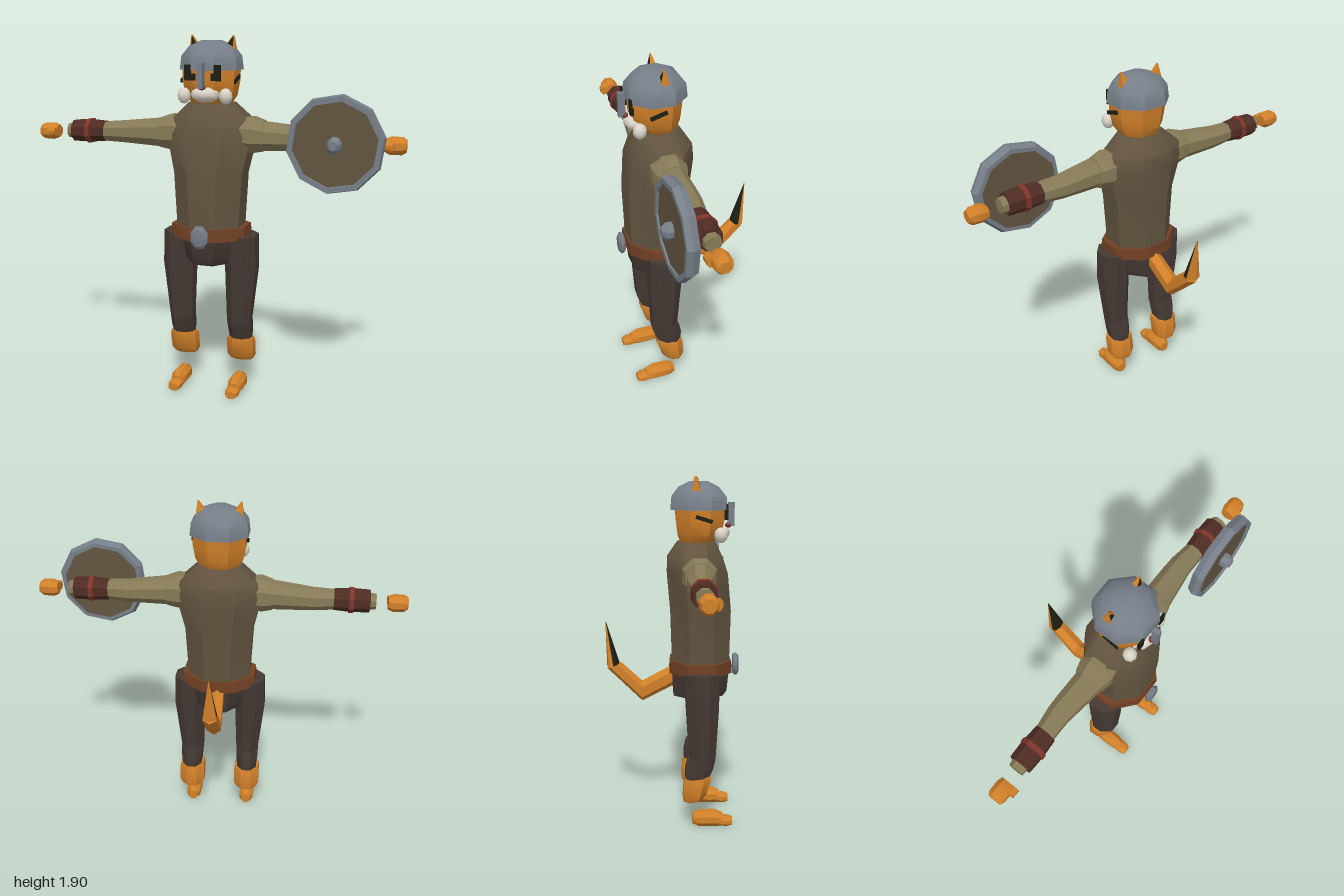
import * as THREE from 'three';
import { toCreasedNormals } from 'three/addons/utils/BufferGeometryUtils.js';

const mat = (name, color) => {
  const m = new THREE.MeshStandardMaterial({ color });
  m.name = name;
  return m;
};

// Lofts closed sections [cx,cy,cz, ux,uy,uz, vx,vy,vz] (centre and two half axes) and caps both ends.
function loft(sections, n = 8) {
  const k = 1 / Math.cos(Math.PI / n);
  const pos = [];
  const index = [];
  for (const [cx, cy, cz, ux, uy, uz, vx, vy, vz] of sections) {
    for (let i = 0; i < n; i++) {
      const a = ((i + 0.5) / n) * Math.PI * 2;
      const c = Math.cos(a) * k;
      const s = Math.sin(a) * k;
      pos.push(cx + ux * c + vx * s, cy + uy * c + vy * s, cz + uz * c + vz * s);
    }
  }
  const last = sections.length - 1;
  for (let j = 0; j < last; j++) {
    for (let i = 0; i < n; i++) {
      const a = j * n + i;
      const b = j * n + ((i + 1) % n);
      index.push(a, b, b + n, a, b + n, a + n);
    }
  }
  for (let i = 1; i < n - 1; i++) {
    index.push(0, i + 1, i);
    index.push(last * n, last * n + i, last * n + i + 1);
  }
  // Keep the faces outward whichever way the sections run
  const p = (i) => new THREE.Vector3().fromArray(pos, i * 3);
  const origin = p(0);
  let volume = 0;
  for (let i = 0; i < index.length; i += 3) {
    const [a, b, c] = [0, 1, 2].map((o) => p(index[i + o]).sub(origin));
    volume += a.dot(b.cross(c));
  }
  if (volume < 0) index.reverse();
  const g = new THREE.BufferGeometry();
  g.setAttribute('position', new THREE.Float32BufferAttribute(pos, 3));
  g.setIndex(index);
  return toCreasedNormals(g, 0.7);
}

// Upright loft from [y, centreX, halfWidth, zBack, zFront]
const loftY = (rows, n) => loft(rows.map(([y, x, r, z0, z1]) =>
  [x, y, (z0 + z1) / 2, r, 0, 0, 0, 0, (z1 - z0) / 2]), n);
// Sideways loft from [x, centreY, halfHeight, centreZ, halfDepth]
const loftX = (rows, s, n) => loft(rows.map(([x, y, h, z, d]) =>
  [x * s, y, z, 0, h, 0, 0, 0, d]), n);
// Forward loft from [z, centreX, halfWidth, centreY, halfHeight]
const loftZ = (rows, n) => loft(rows.map(([z, x, w, y, h]) =>
  [x, y, z, w, 0, 0, 0, h, 0]), n);

export function createModel() {
  const model = new THREE.Group();
  model.name = 'catWarrior';
  const tunic = mat('tunicBrown', 0x62543f);
  const sleeve = mat('sleeveKhaki', 0x867a57);
  const trouser = mat('trouserBrown', 0x453933);
  const fur = mat('orangeFur', 0xd18029);
  const steel = mat('steel', 0x767e88);
  const leather = mat('beltLeather', 0x703f24);
  const bracer = mat('bracerBrown', 0x4f2c24);
  const red = mat('bandRed', 0x80352a);
  const white = mat('whiteFur', 0xdad5c8);
  const black = mat('stripeBlack', 0x1c1f15);

  const add = (name, geometry, material) => {
    const mesh = new THREE.Mesh(geometry, material);
    mesh.name = name;
    model.add(mesh);
    return mesh;
  };
  const box = (name, size, at, material, rx = 0, rz = 0) => {
    const m = add(name, new THREE.BoxGeometry(...size), material);
    m.position.set(...at);
    m.rotation.set(rx, 0, rz);
    return m;
  };
  const ball = (name, size, at, material) => {
    const m = add(name, new THREE.SphereGeometry(1, 8, 6), material);
    m.scale.set(...size);
    m.position.set(...at);
  };

  // Body
  add('torso', loftY([
    [0.91, 0, 0.17, 0.0, 0.31], [1.2, 0, 0.185, -0.01, 0.315], [1.4, 0, 0.23, -0.028, 0.295],
    [1.48, 0, 0.205, -0.025, 0.27], [1.565, 0, 0.115, 0.03, 0.23],
  ]), tunic);
  add('belt', loftY([[0.86, 0, 0.205, -0.015, 0.325], [0.925, 0, 0.2, -0.01, 0.32]]), leather);
  add('buckle', loftZ([
    [0.335, 0, 0.038, 0.89, 0.05], [0.345, 0, 0.046, 0.89, 0.058],
    [0.356, 0, 0.046, 0.89, 0.058], [0.367, 0, 0.03, 0.89, 0.045],
  ]), steel);
  add('hips', loftY([[0.72, 0, 0.115, 0.01, 0.28], [0.75, 0, 0.13, 0.005, 0.3],
    [0.87, 0, 0.16, 0, 0.31]]), trouser);

  // Head and helmet
  add('head', loftY([
    [1.55, 0, 0.09, 0.05, 0.21], [1.6, 0, 0.125, 0.03, 0.26],
    [1.68, 0, 0.14, 0.02, 0.275], [1.75, 0, 0.14, 0.015, 0.275],
  ]), fur);
  add('helmet', loftY([
    [1.732, 0, 0.153, -0.008, 0.292], [1.8, 0, 0.145, -0.002, 0.285],
    [1.85, 0, 0.11, 0.035, 0.245], [1.878, 0, 0.05, 0.09, 0.19],
  ]), steel);
  box('noseGuard', [0.028, 0.125, 0.034], [0, 1.708, 0.315], steel);
  ball('muzzle', [0.078, 0.042, 0.06], [0, 1.612, 0.25], white);
  ball('nose', [0.022, 0.014, 0.018], [0, 1.65, 0.3], red);

  // Tail
  add('tail', loft([
    [0, 0.835, 0.02, 0.036, 0, 0, 0, 0.052, 0], [0, 0.737, -0.165, 0.04, 0, 0, 0, 0.05, 0],
    [0, 0.885, -0.32, 0.036, 0, 0, 0, 0.014, 0.034],
  ], 6), fur);
  const tip = (name, z0, z1, material) => add(name, loft([
    [0, 0.885, (z0 + z1) / 2, 0.036, 0, 0, 0, 0.004, (z1 - z0) / 2],
    [0, 1.125, -0.362, 0.002, 0, 0, 0, 0, 0.002],
  ], 6), material);
  tip('tailTipStripe', -0.33, -0.29, black);
  tip('tailTip', -0.355, -0.315, fur);

  for (const s of [1, -1]) {
    const side = s > 0 ? 'left' : 'right';

    // Face details
    ball(side + 'Cheek', [0.036, 0.041, 0.036], [0.111 * s, 1.605, 0.255], white);
    box(side + 'EyePatch', [0.034, 0.08, 0.009], [0.078 * s, 1.722, 0.288], black);
    box(side + 'Eye', [0.05, 0.035, 0.009], [0.066 * s, 1.7, 0.28], black);
    box(side + 'CheekStripe', [0.008, 0.02, 0.09], [0.144 * s, 1.688, 0.165], black, 0.3);
    const ear = [[1.83, 0.09, 0.033, 0.1, 0.145], [1.905, 0.112, 0.003, 0.124, 0.13]];
    add(side + 'Ear', loftY(ear.map(([y, x, ...r]) => [y, x * s, ...r]), 4), fur);
    const inner = [[1.845, 0.092, 0.02, 0.139, 0.144], [1.895, 0.11, 0.003, 0.128, 0.133]];
    add(side + 'InnerEar', loftY(inner.map(([y, x, ...r]) => [y, x * s, ...r]), 4), black);

    // Arm with bracer and hand
    add(side + 'Shoulder', loftX([
      [0.16, 1.41, 0.08, 0.14, 0.085], [0.225, 1.405, 0.092, 0.14, 0.09],
      [0.285, 1.4, 0.077, 0.14, 0.075],
    ], s), sleeve);
    add(side + 'Sleeve', loftX([
      [0.25, 1.4, 0.076, 0.145, 0.072], [0.42, 1.395, 0.064, 0.133, 0.062],
      [0.5, 1.392, 0.058, 0.128, 0.056], [0.63, 1.39, 0.05, 0.137, 0.048],
    ], s), sleeve);
    add(side + 'Bracer', loftX([
      [0.61, 1.39, 0.053, 0.138, 0.053], [0.7, 1.39, 0.059, 0.138, 0.059],
      [0.8, 1.388, 0.056, 0.138, 0.056],
    ], s), bracer);
    add(side + 'BracerBand', loftX([
      [0.69, 1.39, 0.064, 0.138, 0.064], [0.715, 1.39, 0.064, 0.138, 0.064],
    ], s), red);
    add(side + 'Cuff', loftX([
      [0.79, 1.388, 0.042, 0.138, 0.042], [0.832, 1.387, 0.038, 0.138, 0.038],
    ], s), sleeve);
    add(side + 'Hand', loftX([
      [0.897, 1.38, 0.032, 0.145, 0.034], [0.925, 1.38, 0.044, 0.147, 0.043],
      [0.98, 1.38, 0.042, 0.147, 0.042], [1.0, 1.38, 0.03, 0.147, 0.032],
    ], s), fur);
    add(side + 'Thumb', loftX([
      [0.896, 1.378, 0.022, 0.19, 0.02], [0.94, 1.378, 0.028, 0.187, 0.022],
    ], s), fur);

    // Leg with paw
    const upright = (name, rows, material) =>
      add(side + name, loftY(rows.map(([y, x, ...r]) => [y, x * s, ...r])), material);
    upright('Thigh', [
      [0.39, 0.163, 0.062, 0.095, 0.235], [0.7, 0.175, 0.084, 0.075, 0.25],
      [0.878, 0.172, 0.082, 0.065, 0.25],
    ], trouser);
    upright('Shin', [
      [0.285, 0.165, 0.056, 0.072, 0.2], [0.34, 0.165, 0.061, 0.072, 0.222],
      [0.4, 0.164, 0.063, 0.085, 0.236],
    ], trouser);
    const ankle = (y, w, z, d) => [0.164 * s, y, z, w, 0, 0, 0, 0.14 * d, d];
    add(side + 'Ankle', loft([
      ankle(0.16, 0.06, 0.115, 0.052), ankle(0.185, 0.073, 0.122, 0.064),
      ankle(0.265, 0.073, 0.137, 0.074), ankle(0.292, 0.068, 0.14, 0.07),
    ]), fur);
    add(side + 'Foot', loftZ([
      [0.112, 0.163 * s, 0.026, 0.045, 0.028], [0.145, 0.163 * s, 0.04, 0.046, 0.043],
      [0.235, 0.163 * s, 0.041, 0.046, 0.045], [0.28, 0.163 * s, 0.03, 0.038, 0.034],
    ]), fur);
    add(side + 'Toes', loftZ([
      [0.268, 0.163 * s, 0.034, 0.03, 0.027], [0.305, 0.163 * s, 0.036, 0.03, 0.029],
      [0.333, 0.163 * s, 0.026, 0.028, 0.02],
    ]), fur);
  }

  // Round shield on the left arm
  const shield = new THREE.Group();
  shield.name = 'shield';
  shield.position.set(0.67, 1.388, 0);
  shield.rotation.z = THREE.MathUtils.degToRad(-8);
  model.add(shield);
  const profile = [[0.205, 0.222], [0.232, 0.222], [0.248, 0.255], [0.24, 0.285],
    [0.213, 0.285], [0.205, 0.222]].map((p) => new THREE.Vector2(...p));
  const rim = toCreasedNormals(new THREE.LatheGeometry(profile, 10), 0.5);
  const rimMesh = new THREE.Mesh(rim.rotateX(Math.PI / 2), steel);
  rimMesh.name = 'shieldRim';
  const board = new THREE.CylinderGeometry(0.214, 0.21, 0.055, 10).rotateX(Math.PI / 2);
  const boardMesh = new THREE.Mesh(board.translate(0, 0, 0.248), tunic);
  boardMesh.name = 'shieldBoard';
  const boss = new THREE.Mesh(loftZ([[0.27, 0, 0.034, 0, 0.04], [0.305, 0, 0.034, 0, 0.04],
    [0.327, 0, 0.018, 0, 0.022]]), steel);
  boss.name = 'shieldBoss';
  shield.add(rimMesh, boardMesh, boss);

  return model;
}
